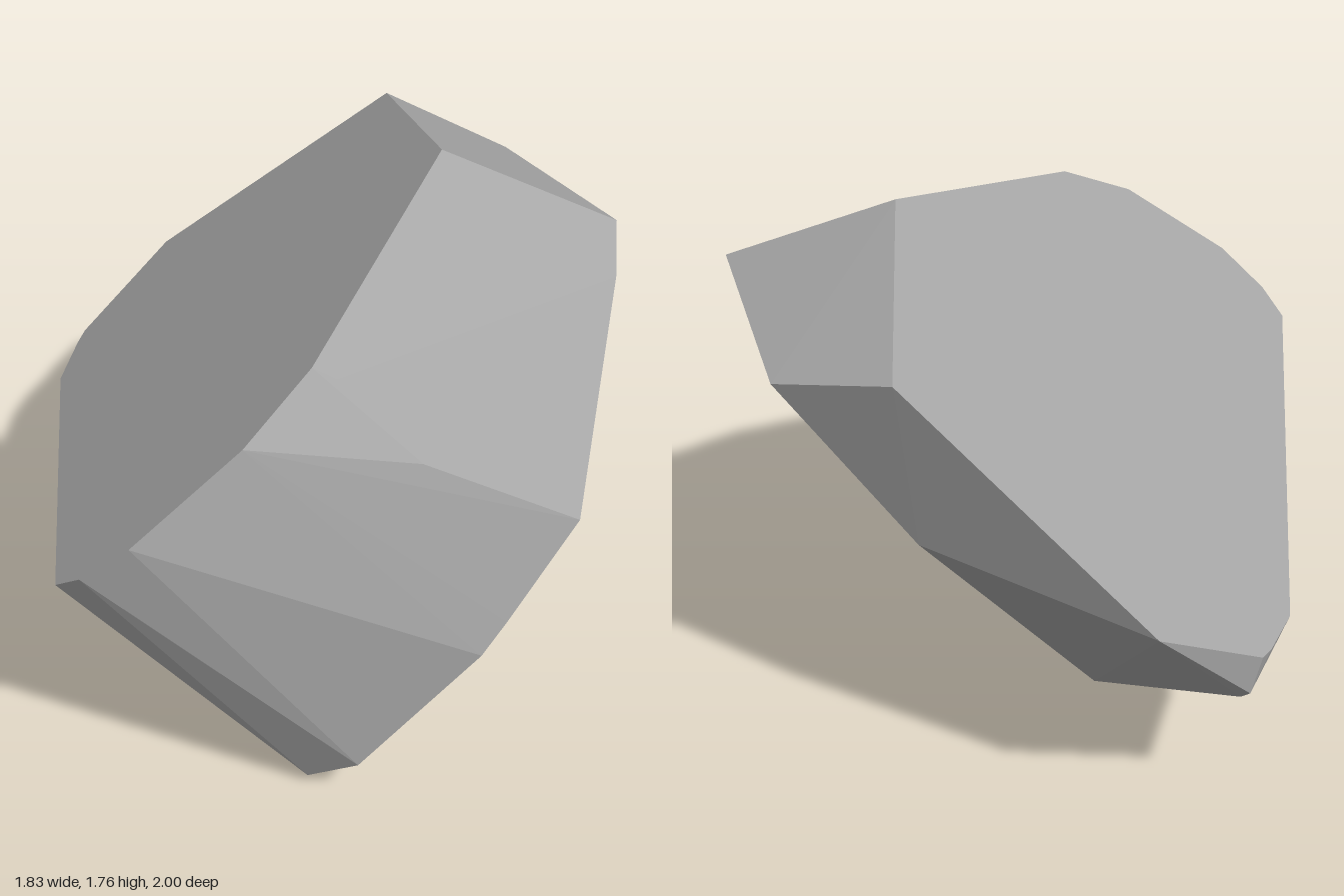
import * as THREE from 'three';
import { ConvexGeometry } from 'three/addons/geometries/ConvexGeometry.js';

// Broad upper face: outline as [x, z], height follows a tilted plane
const upperOutline = [
  [-0.58, -1], [0.2, -0.88], [0.36, -0.14], [-0.02, 0.67], [-0.21, 0.87],
  [-0.53, 1], [-0.68, 0.98], [-0.76, 0.92], [-0.92, -0.48], [-0.88, -0.68], [-0.86, -0.74],
];
const upperPoint = ([x, z]) =>
  new THREE.Vector3(x, (2.697 + 1.565 * x + 0.19 * z) / 1.837, z);

// Broad lower face: outline as [z, y], x follows a second plane
const lowerOutline = [
  [-0.13, 1.52], [0.05, 1.43], [0.7, 1], [0.83, 0.71], [0.87, 0.61], [0.91, 0.18], [0.82, 0.04],
  [0.61, 0], [0.18, 0.05], [-0.12, 0.11], [-0.33, 0.19], [-0.44, 0.27], [-0.78, 0.96], [-0.73, 1.43],
];
const lowerPoint = ([z, y]) =>
  new THREE.Vector3((-0.338 + 0.776 * y + 0.338 * z) / 0.877, y, z);

// Chipped corners on the rim between the two faces
const rimCorners = [
  [0.05, 1.48, 0.67], [0.3, 1.25, 0.76], [0.37, 1.21, 0.75],
  [-0.83, 0.53, -0.75], [-0.8, 0.49, -0.72], [-0.66, 0.375, -0.57],
];

export function createModel() {
  const stone = new THREE.MeshStandardMaterial({ color: 0xa6a6a6 });
  stone.name = 'grey stone';

  const points = [
    ...upperOutline.map(upperPoint),
    ...lowerOutline.map(lowerPoint),
    ...rimCorners.map((p) => new THREE.Vector3(...p)),
  ];
  const rock = new THREE.Mesh(new ConvexGeometry(points), stone);
  rock.name = 'rock';

  const model = new THREE.Group();
  model.name = 'facetedRock';
  model.add(rock);
  return model;
}
